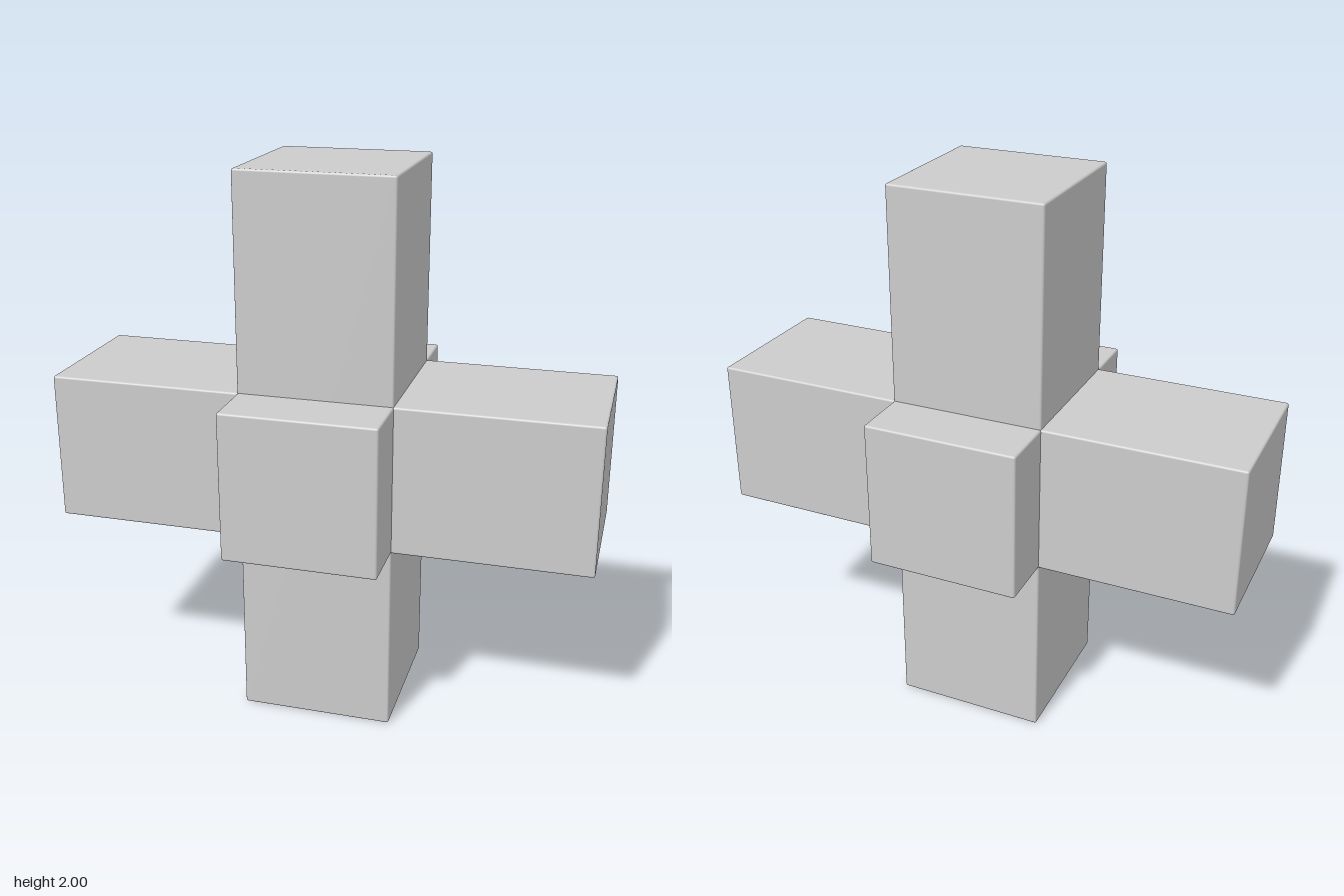
import * as THREE from 'three';
import { RoundedBoxGeometry } from 'three/addons/geometries/RoundedBoxGeometry.js';

const WIDTH = 0.553;   // thickness of the bars in x and z
const HEIGHT = 0.54;   // thickness of the horizontal bars in y
const CROSS_Y = 0.965; // height where the bars meet
const BEVEL = 0.008;   // softened edges

export function createModel() {
  const group = new THREE.Group();
  group.name = 'threeAxisCross';
  const material = new THREE.MeshStandardMaterial({ color: 0xcccccc });

  function addBar(name, width, height, depth, y) {
    const mesh = new THREE.Mesh(new RoundedBoxGeometry(width, height, depth, 3, BEVEL), material);
    mesh.name = name;
    mesh.position.y = y;
    group.add(mesh);
  }

  // upright post, long side arms and short front-to-back bar
  addBar('verticalPost', WIDTH, 2, WIDTH, 1);
  addBar('sideArms', 1.952, HEIGHT, WIDTH, CROSS_Y);
  addBar('frontBackBar', WIDTH, HEIGHT, 0.974, CROSS_Y);

  return group;
}
